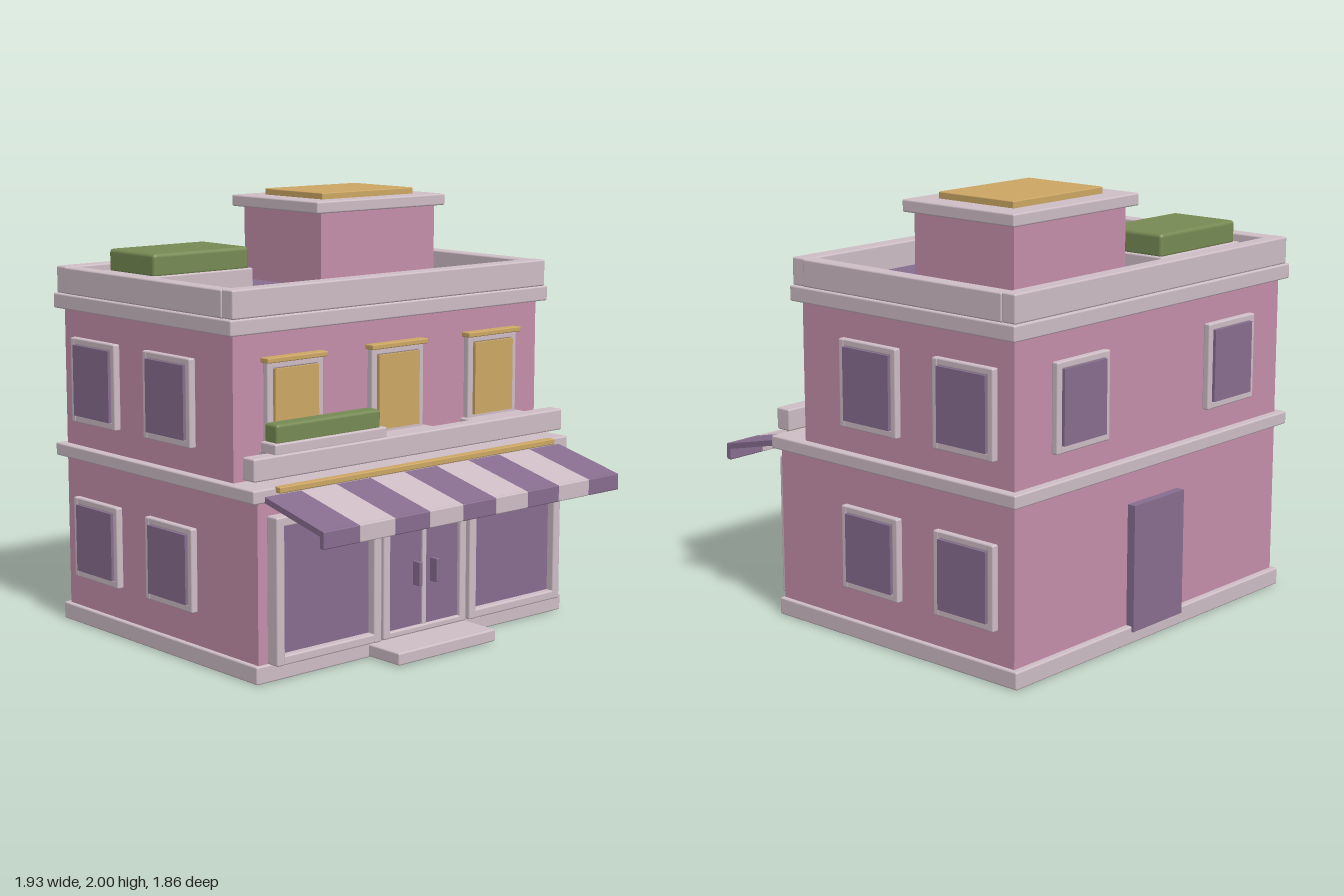
import * as THREE from 'three';
import { RoundedBoxGeometry } from 'three/addons/geometries/RoundedBoxGeometry.js';

function material(name, color) {
  const m = new THREE.MeshStandardMaterial({ color });
  m.name = name;
  return m;
}

export function createModel() {
  const pink = material('pink wall', 0xc48faa);
  const trim = material('pale trim', 0xcebdc5);
  const purple = material('purple', 0x876d8f);
  const gold = material('gold', 0xcca764);
  const green = material('green', 0x768a53);

  const model = new THREE.Group();
  model.name = 'shopBuilding';

  // Box given by its limits on each axis; bevel 0 gives sharp edges
  function box(parent, name, mat, [x0, x1], [y0, y1], [z0, z1], bevel = 0.008) {
    const w = x1 - x0, h = y1 - y0, d = z1 - z0;
    const r = Math.min(bevel, Math.min(w, h, d) * 0.4);
    const geo = r > 0 ? new RoundedBoxGeometry(w, h, d, 2, r) : new THREE.BoxGeometry(w, h, d);
    const mesh = new THREE.Mesh(geo, mat);
    mesh.name = name;
    mesh.position.set((x0 + x1) / 2, (y0 + y1) / 2, (z0 + z1) / 2);
    parent.add(mesh);
    return mesh;
  }

  function group(name, parent = model) {
    const g = new THREE.Group();
    g.name = name;
    parent.add(g);
    return g;
  }

  // Four bars around an opening, facing +z with their backs at z = 0
  function frame(parent, w, y0, y1, side, bottom, depth) {
    const h = w / 2;
    for (const s of [-1, 1]) {
      const xs = s < 0 ? [-h, -h + side] : [h - side, h];
      box(parent, 'frameSide', trim, xs, [y0, y1], [0, depth]);
    }
    box(parent, 'frameTop', trim, [-h + side / 2, h - side / 2], [y1 - side, y1], [0, depth - 0.002]);
    box(parent, 'frameBottom', trim, [-h + side / 2, h - side / 2], [y0, y0 + bottom], [0, depth - 0.002]);
  }

  // Plain framed window, also facing +z
  function plainWindow(x, z, turn, y0, y1) {
    const g = group('window');
    g.position.set(x, 0, z);
    g.rotation.y = turn;
    frame(g, 0.345, y0, y1, 0.034, 0.036, 0.035);
    box(g, 'windowPane', purple, [-0.138, 0.138], [y0 + 0.034, y1 - 0.032], [0, 0.045], 0);
  }

  // Main storeys and horizontal bands
  box(model, 'groundFloor', pink, [-0.92, 0.92], [0.04, 0.82], [-0.88, 0.525], 0);
  box(model, 'upperFloor', pink, [-0.92, 0.92], [0.82, 1.5], [-0.88, 0.365], 0);
  box(model, 'plinth', trim, [-0.94, 0.94], [0, 0.08], [-0.91, 0.54]);
  box(model, 'floorBand', trim, [-0.96, 0.96], [0.79, 0.85], [-0.92, 0.55]);
  box(model, 'cornice', trim, [-0.96, 0.96], [1.485, 1.555], [-0.915, 0.405]);
  box(model, 'roofDeck', purple, [-0.89, 0.89], [1.54, 1.565], [-0.84, 0.335], 0);

  // Parapet
  const parapet = group('parapet');
  box(parapet, 'parapetFront', trim, [-0.945, 0.945], [1.555, 1.68], [0.315, 0.4]);
  box(parapet, 'parapetBack', trim, [-0.945, 0.945], [1.555, 1.68], [-0.905, -0.83]);
  for (const s of [-1, 1]) {
    const xs = s < 0 ? [-0.95, -0.875] : [0.875, 0.95];
    box(parapet, 'parapetSide', trim, xs, [1.555, 1.678], [-0.835, 0.33]);
  }

  // Rooftop room with its slab and skylight
  box(model, 'roofRoom', pink, [0.03, 0.755], [1.56, 1.92], [-0.73, -0.165], 0);
  box(model, 'roofRoomSlab', trim, [-0.02, 0.795], [1.915, 1.97], [-0.765, -0.13]);
  box(model, 'skylight', gold, [0.1, 0.68], [1.965, 2], [-0.66, -0.235], 0.005);

  // Rooftop planter
  box(model, 'roofPlanter', trim, [-0.79, -0.205], [1.56, 1.66], [-0.75, -0.375]);
  box(model, 'roofHedge', green, [-0.77, -0.22], [1.65, 1.76], [-0.735, -0.385], 0.018);

  // Balcony rail and its planter
  box(model, 'balconyRail', trim, [-0.94, 0.94], [0.88, 0.98], [0.45, 0.53]);
  box(model, 'balconyPlanter', trim, [-0.81, -0.17], [0.975, 1.025], [0.41, 0.515]);
  box(model, 'balconyHedge', green, [-0.79, -0.195], [1.015, 1.105], [0.415, 0.5], 0.014);

  // Upper front windows
  for (const x of [-0.6, 0, 0.6]) {
    const g = group('frontWindow');
    g.position.set(x, 0, 0.365);
    frame(g, 0.315, 0.96, 1.36, 0.034, 0.034, 0.035);
    box(g, 'frontPane', gold, [-0.123, 0.123], [0.99, 1.327], [0, 0.045], 0);
    box(g, 'lintel', gold, [-0.17, 0.17], [1.355, 1.378], [0, 0.053], 0.005);
    box(g, 'sill', trim, [-0.18, 0.18], [0.94, 0.977], [0, 0.083]);
  }

  // Side and back windows
  for (const s of [-1, 1]) {
    for (const z of [-0.063, -0.62]) {
      plainWindow(s * 0.92, z, s * Math.PI / 2, 0.23, 0.61);
      plainWindow(s * 0.92, z, s * Math.PI / 2, 0.965, 1.36);
    }
    plainWindow(s * 0.52, -0.88, Math.PI, 0.965, 1.36);
  }
  box(model, 'backDoor', purple, [-0.175, 0.175], [0.055, 0.635], [-0.92, -0.87], 0);

  // Shop windows
  for (const s of [-1, 1]) {
    const g = group('shopWindow');
    g.position.set(s * 0.572, 0, 0.525);
    frame(g, 0.6, 0.08, 0.73, 0.044, 0.042, 0.07);
    box(g, 'shopPane', purple, [-0.265, 0.265], [0.11, 0.7], [0, 0.03], 0);
  }

  // Double entrance door
  const entrance = group('entrance');
  entrance.position.z = 0.525;
  frame(entrance, 0.51, 0.08, 0.73, 0.04, 0.03, 0.065);
  box(entrance, 'doorMullion', trim, [-0.012, 0.012], [0.1, 0.71], [0, 0.055], 0.004);
  for (const s of [-1, 1]) {
    const span = (a, b) => (s < 0 ? [-b, -a] : [a, b]);
    box(entrance, 'doorLeaf', purple, span(0.01, 0.217), [0.105, 0.7], [0, 0.045], 0);
    box(entrance, 'doorHandle', purple, span(0.043, 0.063), [0.3, 0.41], [0.04, 0.09], 0.004);
  }
  box(model, 'doorstep', trim, [-0.3, 0.3], [0.005, 0.062], [0.53, 0.738]);

  // Striped awning with a hanging valance
  const awning = group('awning');
  const tilt = Math.atan2(0.085, 0.37);
  for (let i = 0; i < 9; i++) {
    const x = -0.9 + i * 0.2;
    const mat = i % 2 ? trim : purple;
    const strip = box(awning, 'awningStripe', mat, [x, x + 0.2], [-0.013, 0.013], [-0.195, 0.195], 0);
    strip.position.set(x + 0.1, 0.763, 0.732);
    strip.rotation.x = tilt;
    box(awning, 'valance', mat, [x, x + 0.2], [0.658, 0.735], [0.9, 0.93], 0.006);
  }
  box(awning, 'awningRod', gold, [-0.84, 0.84], [0.828, 0.855], [0.54, 0.58], 0.005);

  return model;
}
